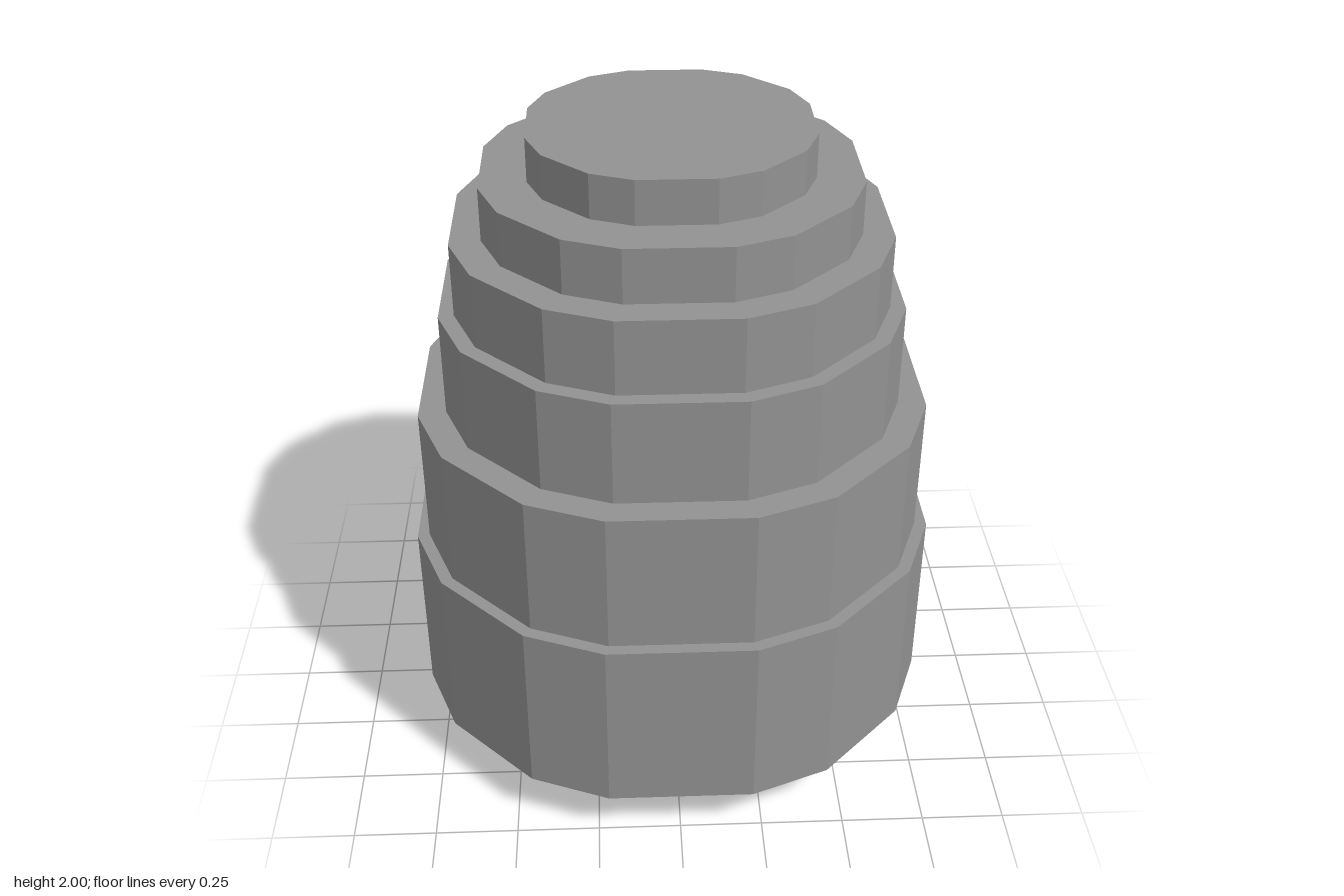
import * as THREE from 'three';

// One quadrant of the unit tier outline (half width = 1)
const QUADRANT = [[1, 0.273], [0.885, 0.568], [0.568, 0.885], [0.273, 1]];

// Sixteen-sided outline with four wide flats, scaled to a half width
function tierShape(r) {
  const pts = [];
  for (let q = 0; q < 4; q++) {
    for (const [x, y] of QUADRANT) {
      pts.push(new THREE.Vector2(x * r, y * r).rotateAround(new THREE.Vector2(), q * Math.PI / 2));
    }
  }
  return new THREE.Shape(pts);
}

export function createModel() {
  const model = new THREE.Group();
  model.name = 'steppedFoliageBlock';
  const leafMaterial = new THREE.MeshStandardMaterial({ color: 0x929292, flatShading: true });
  const stemMaterial = new THREE.MeshStandardMaterial({ color: 0xcccccc, flatShading: true });

  // Short square stem
  const stem = new THREE.Mesh(new THREE.BoxGeometry(0.314, 0.17, 0.314), stemMaterial);
  stem.name = 'stem';
  stem.position.y = 0.085;
  model.add(stem);

  // Stacked tiers: half width, bottom, top
  const tiers = [
    [0.793, 0.17, 0.735],
    [0.757, 0.735, 1.17],
    [0.675, 1.17, 1.487],
    [0.63, 1.487, 1.71],
    [0.54, 1.71, 1.87],
    [0.405, 1.87, 2],
  ];
  tiers.forEach(([r, bottom, top], i) => {
    const geometry = new THREE.ExtrudeGeometry(tierShape(r), { depth: top - bottom, bevelEnabled: false });
    geometry.rotateX(-Math.PI / 2);
    const tier = new THREE.Mesh(geometry, leafMaterial);
    tier.name = `tier${i + 1}`;
    tier.position.y = bottom;
    model.add(tier);
  });

  return model;
}
